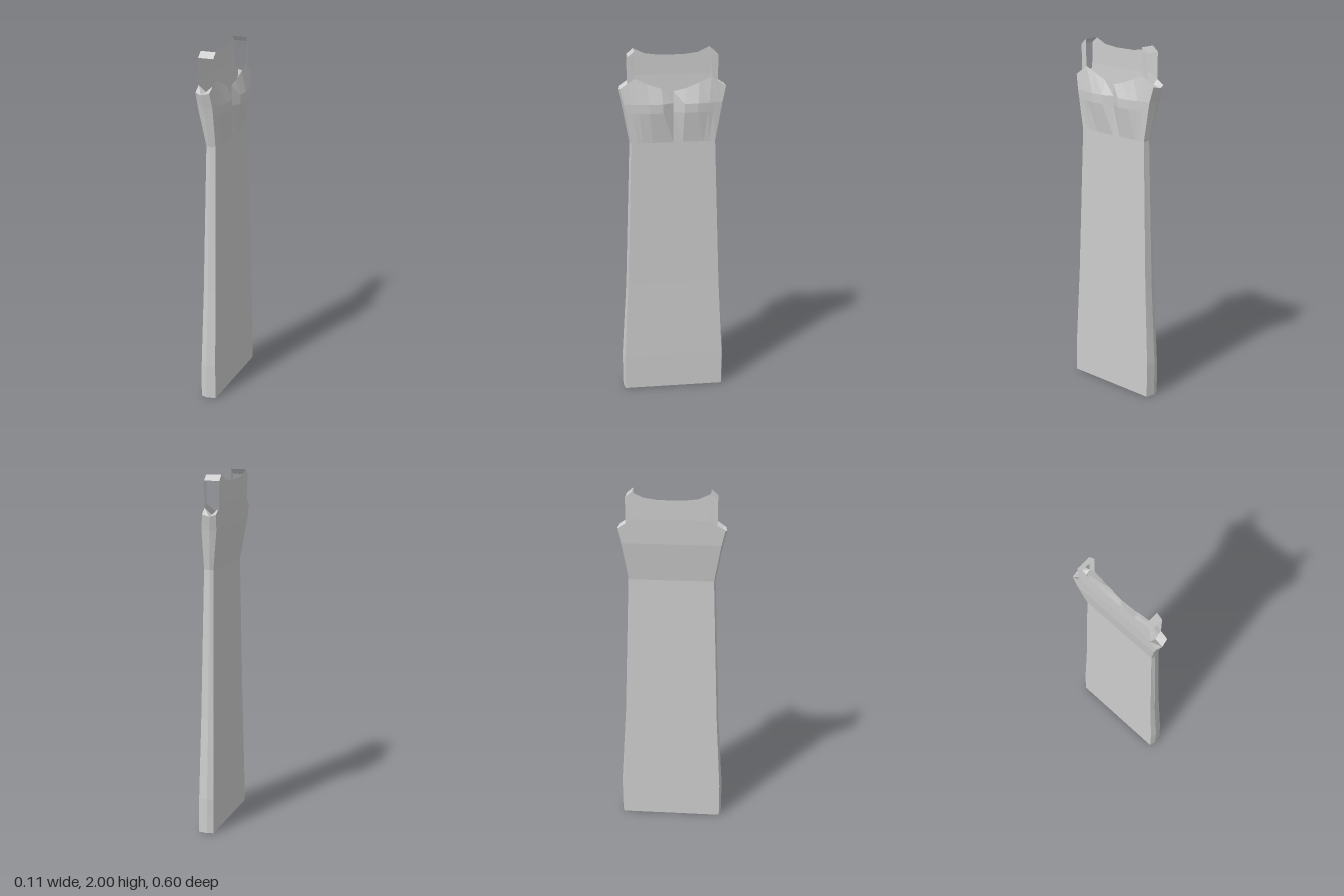
import * as THREE from 'three';

// Builds a mesh from rows of [x, y, z] points; each row is one cross-section
function sheet(name, rows, material, closed = false) {
  const n = rows[0].length, pos = [];
  for (let i = 0; i < rows.length - 1; i++) {
    for (let j = 0; j < (closed ? n : n - 1); j++) {
      const k = (j + 1) % n;
      const a = rows[i][j], b = rows[i][k], c = rows[i + 1][k], d = rows[i + 1][j];
      pos.push(...a, ...d, ...c, ...a, ...c, ...b);
    }
  }
  const g = new THREE.BufferGeometry();
  g.setAttribute('position', new THREE.Float32BufferAttribute(pos, 3));
  g.computeVertexNormals();
  const mesh = new THREE.Mesh(g, material);
  mesh.name = name;
  return mesh;
}

const flip = ([x, y, z]) => [x, y, -z];
// Half ring (front centre to back centre) completed by its mirror image
const fullRing = (half) => [...half, ...half.slice(1, -1).reverse().map(flip)];

export function createModel() {
  const model = new THREE.Group();
  model.name = 'dress';
  const cloth = new THREE.MeshStandardMaterial({ color: 0xcccccc, side: THREE.DoubleSide, flatShading: true });
  cloth.name = 'grey cloth';

  // Column positions as fractions of the panel half-width
  const cols = [0, 0.22, 0.5, 0.725, 0.845, 1];
  const section = (y, w, side, front, back, sideX) => fullRing([
    ...cols.map((f, i) => [Array.isArray(front) ? front[i] : front, y, f * w]),
    [sideX, y, side],
    ...[...cols].reverse().map((f) => [back, y, f * w]),
  ]);

  // Neckline and underarm edge of the gown
  const topHalf = [
    [0.028, 1.775, 0], [0.028, 1.79, 0.065], [0.027, 1.82, 0.145], [0.026, 1.85, 0.21],
    [0.025, 1.825, 0.245], [0.024, 1.795, 0.29],
    [-0.02, 1.785, 0.298],
    [-0.054, 1.795, 0.29], [-0.055, 1.825, 0.245], [-0.057, 1.85, 0.21],
    [-0.057, 1.85, 0.145], [-0.057, 1.85, 0.065], [-0.057, 1.85, 0],
  ];
  const bust = [0.03, 0.057, 0.057, 0.046, 0.04, 0.034];
  const rows = [
    section(0, 0.283, 0.293, 0.052, -0.035, 0),
    section(0.2, 0.283, 0.295, 0.05, -0.034, 0),
    section(0.65, 0.26, 0.268, 0.044, -0.028, 0),
    section(1.49, 0.232, 0.24, 0.034, -0.019, 0),
    section(1.66, 0.261, 0.27, bust, -0.043, -0.01),
    section(1.71, 0.27, 0.28, bust, -0.05, -0.014),
    fullRing(topHalf),
  ];
  model.add(sheet('gown', rows, cloth, true));

  // Closed hem
  const hemRow = rows[0];
  const hemCentre = hemRow.map(() => [0.008, 0, 0]);
  model.add(sheet('hem', [hemCentre, hemRow], cloth, true));

  // Raised back panel, including the back of the straps
  const backBottom = topHalf.slice(8);
  const backTop = [[-0.058, 1.97, 0.245], [-0.058, 2, 0.21], [-0.058, 1.97, 0.145],
    [-0.058, 1.96, 0.065], [-0.058, 1.96, 0]];
  const across = (half) => [...half, ...half.slice(0, -1).reverse().map(flip)];
  model.add(sheet('backPanel', [across(backBottom), across(backTop)], cloth));

  // Shoulder straps and underarm pieces, one per side
  for (const s of [1, -1]) {
    const place = (row) => {
      const r = row.map(([x, y, z]) => [x, y, z * s]);
      return s > 0 ? r : r.reverse();
    };
    model.add(sheet('strapFront', [
      place([topHalf[3], topHalf[4]]),
      place([[0.028, 1.97, 0.21], [0.028, 1.968, 0.245]]),
      place([[0.028, 2, 0.21], [0.028, 1.97, 0.245]]),
    ], cloth));
    model.add(sheet('strapTop', [
      place([[0.028, 1.97, 0.245], [-0.058, 1.97, 0.245]]),
      place([[0.028, 2, 0.21], [-0.058, 2, 0.21]]),
    ], cloth));
    model.add(sheet('underarm', [
      place([topHalf[5], topHalf[6], topHalf[7]]),
      place([topHalf[4], [-0.015, 1.79, 0.245], topHalf[8]]),
    ], cloth));
  }
  return model;
}
